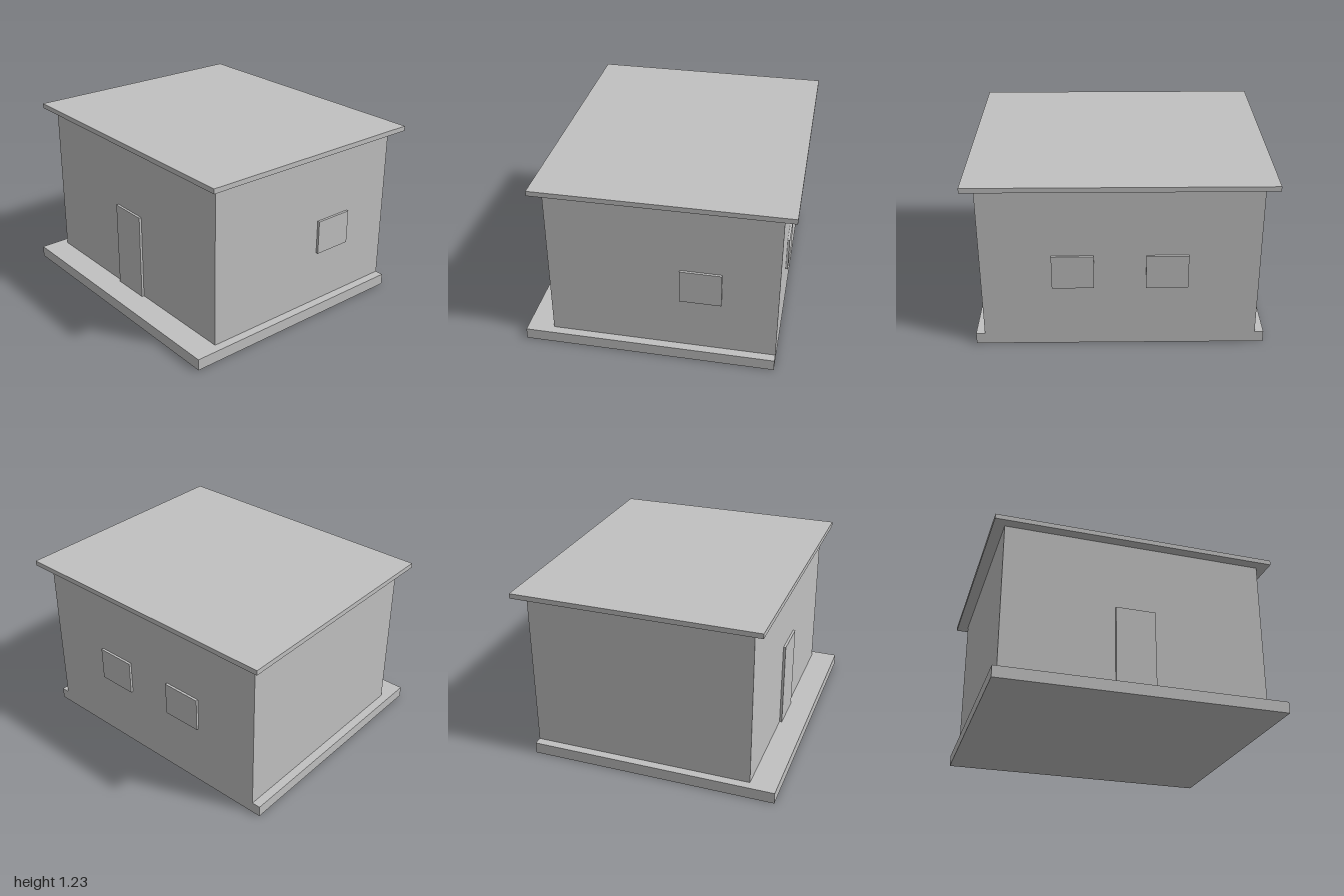
import * as THREE from 'three';

export function createModel() {
  const house = new THREE.Group();
  house.name = 'house';
  const plaster = new THREE.MeshStandardMaterial({ color: 0xc0c0c0 });
  plaster.name = 'light grey';

  // Adds a box spanning the given [min, max] ranges
  function addBox(name, [x0, x1], [y0, y1], [z0, z1]) {
    const geometry = new THREE.BoxGeometry(x1 - x0, y1 - y0, z1 - z0);
    const mesh = new THREE.Mesh(geometry, plaster);
    mesh.position.set((x0 + x1) / 2, (y0 + y1) / 2, (z0 + z1) / 2);
    mesh.name = name;
    house.add(mesh);
  }

  const wallX = 0.922, wallFront = 0.719, wallBack = -0.823;
  const baseTop = 0.079, wallTop = 1.191;
  const relief = 0.017; // how far door and windows stand out
  const windowY = [0.452, 0.692];

  // Main volumes: the base is flush with the back wall
  addBox('base', [-0.982, 0.982], [0, baseTop], [wallBack, 0.902]);
  addBox('walls', [-wallX, wallX], [baseTop, wallTop], [wallBack, wallFront]);
  addBox('roof', [-1, 1], [wallTop, 1.225], [-0.902, 0.792]);

  // Front door, slightly off centre
  addBox('door', [-0.149, 0.129], [baseTop, 0.692], [wallFront, wallFront + relief]);

  // One window in the left wall, two in the back wall
  addBox('leftWindow', [wallX, wallX + relief], windowY, [-0.45, -0.17]);
  for (const side of [-1, 1]) {
    const x = side * 0.312;
    addBox(side > 0 ? 'backWindowLeft' : 'backWindowRight',
      [x - 0.14, x + 0.14], windowY, [wallBack - relief, wallBack]);
  }

  return house;
}
